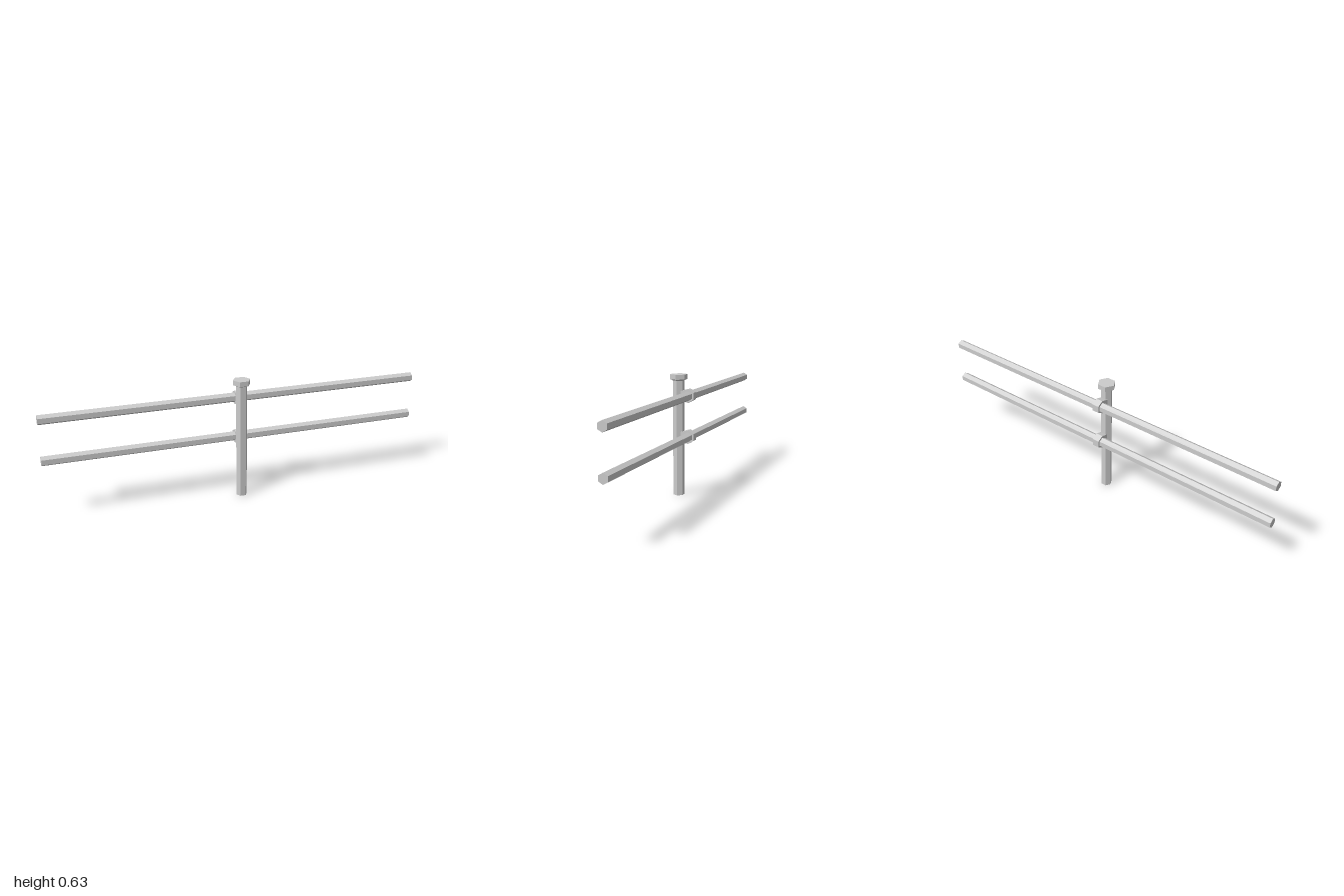
import * as THREE from 'three';

const material = new THREE.MeshStandardMaterial({ color: 0xcccccc, flatShading: true });

// Hexagonal prism along y with corners on the x axis
function hexPrism(topRadius, bottomRadius, height) {
  return new THREE.CylinderGeometry(topRadius, bottomRadius, height, 6, 1, false, Math.PI / 6);
}

function addPart(parent, name, geometry, x, y, z) {
  const mesh = new THREE.Mesh(geometry, material);
  mesh.name = name;
  mesh.position.set(x, y, z);
  parent.add(mesh);
  return mesh;
}

// Hexagonal clamp whose front side stretches into the post
function clampGeometry(width) {
  const r = 0.0355;
  const a = r * Math.cos(Math.PI / 6);
  const shape = new THREE.Shape([
    [0, r], [-a, r / 2], [-a, -r / 2], [0, -r], [0.041, -0.0245], [0.041, 0.0245],
  ].map(([z, y]) => new THREE.Vector2(z, y)));
  const geometry = new THREE.ExtrudeGeometry(shape, { depth: width, bevelEnabled: false });
  geometry.translate(0, 0, -width / 2);
  geometry.rotateY(-Math.PI / 2); // profile x becomes z
  return geometry;
}

export function createModel() {
  const model = new THREE.Group();
  model.name = 'railingSection';

  // Upright post with a bevelled cap
  const postZ = 0.025;
  const postRadius = 0.0289;
  const capRadius = 0.0456;
  addPart(model, 'post', hexPrism(postRadius, postRadius, 0.6), 0, 0.3, postZ);
  addPart(model, 'capBevel', hexPrism(capRadius, postRadius, 0.007), 0, 0.6, postZ);
  addPart(model, 'cap', hexPrism(capRadius, capRadius, 0.025), 0, 0.616, postZ);

  // Two horizontal rails, each held behind the post by a clamp
  const railZ = -0.032;
  [['lower', 0.309], ['upper', 0.52]].forEach(([level, y]) => {
    const rail = hexPrism(0.025, 0.025, 2).rotateZ(Math.PI / 2);
    addPart(model, level + 'Rail', rail, 0, y, railZ);
    addPart(model, level + 'Clamp', clampGeometry(0.038), 0, y, railZ);
  });

  return model;
}
